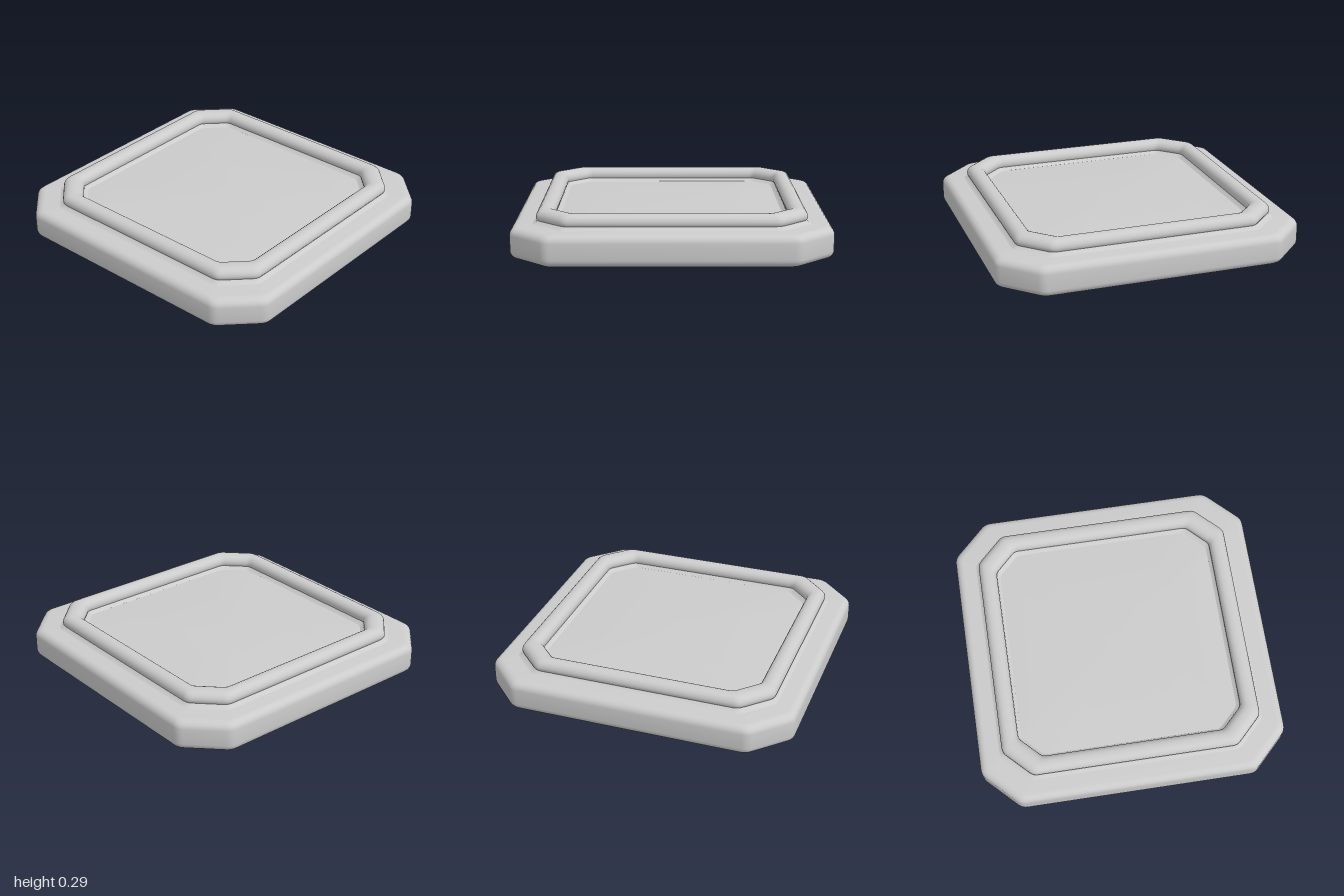
import * as THREE from 'three';
import { toCreasedNormals } from 'three/addons/utils/BufferGeometryUtils.js';

const material = new THREE.MeshStandardMaterial({ color: 0xcccccc, side: THREE.DoubleSide });

// Square outline with cut, slightly rounded corners; h is half the width
function outline(h) {
  const e = h * Math.min(1, Math.max(0.1 + 0.67 * h, 0) / Math.max(h, 0.01));
  const corners = [[h, -e], [h, e], [e, h], [-e, h], [-e, -h], [-h, -e]];
  const ring = [corners[0], corners[1], corners[2], corners[3],
    [-h, e], [-h, -e], [-e, -h], [e, -h]].map(([x, z]) => new THREE.Vector2(x, z));
  const points = [];
  const soft = 0.035 * h;
  ring.forEach((p, i) => {
    const toward = (q) => p.clone().add(q.clone().sub(p).setLength(soft));
    const a = toward(ring[(i + 7) % 8]);
    const b = toward(ring[(i + 1) % 8]);
    points.push(...new THREE.QuadraticBezierCurve(a, p, b).getPoints(4));
  });
  return points;
}

// Quarter-round in a profile, from angle a0 to a1 in degrees
function arc(cx, cy, r, a0, a1, steps = 6) {
  return Array.from({ length: steps + 1 }, (_, i) => {
    const t = THREE.MathUtils.degToRad(a0 + (a1 - a0) * i / steps);
    return [cx + r * Math.cos(t), cy + r * Math.sin(t)];
  });
}

// Sweep a profile of [half width, height] around the outline
function sweep(name, profile) {
  const positions = [], index = [];
  let n = 0;
  for (const [h, y] of profile) {
    const points = h > 0 ? outline(h) : outline(1).map(() => new THREE.Vector2());
    n = points.length;
    for (const p of points) positions.push(p.x, y, p.y);
  }
  for (let i = 0; i < profile.length - 1; i++) {
    for (let j = 0; j < n; j++) {
      const k = (j + 1) % n;
      const a = i * n + j, b = a + n, c = i * n + k, d = c + n;
      if (profile[i][0] > 0) index.push(a, b, c);
      if (profile[i + 1][0] > 0) index.push(c, b, d);
    }
  }
  const geometry = new THREE.BufferGeometry();
  geometry.setAttribute('position', new THREE.Float32BufferAttribute(positions, 3));
  geometry.setIndex(index);
  const mesh = new THREE.Mesh(toCreasedNormals(geometry, 0.6), material);
  mesh.name = name;
  return mesh;
}

export function createModel() {
  const model = new THREE.Group();
  model.name = 'tray';

  // Thick slab with rounded edges; its top is also the floor inside the rim
  model.add(sweep('base', [
    [0, 0],
    ...arc(0.95, 0.05, 0.05, -90, 0),
    ...arc(0.95, 0.15, 0.05, 0, 90),
    [0, 0.2],
  ]));

  // Raised rim with a small cove at its foot on both sides
  model.add(sweep('rim', [
    [0.865, 0.2], [0.85, 0.207], [0.838, 0.22],
    ...arc(0.795, 0.24, 0.05, -10, 90),
    ...arc(0.78, 0.24, 0.05, 90, 190),
    [0.735, 0.22], [0.722, 0.207], [0.71, 0.2],
  ]));

  return model;
}
